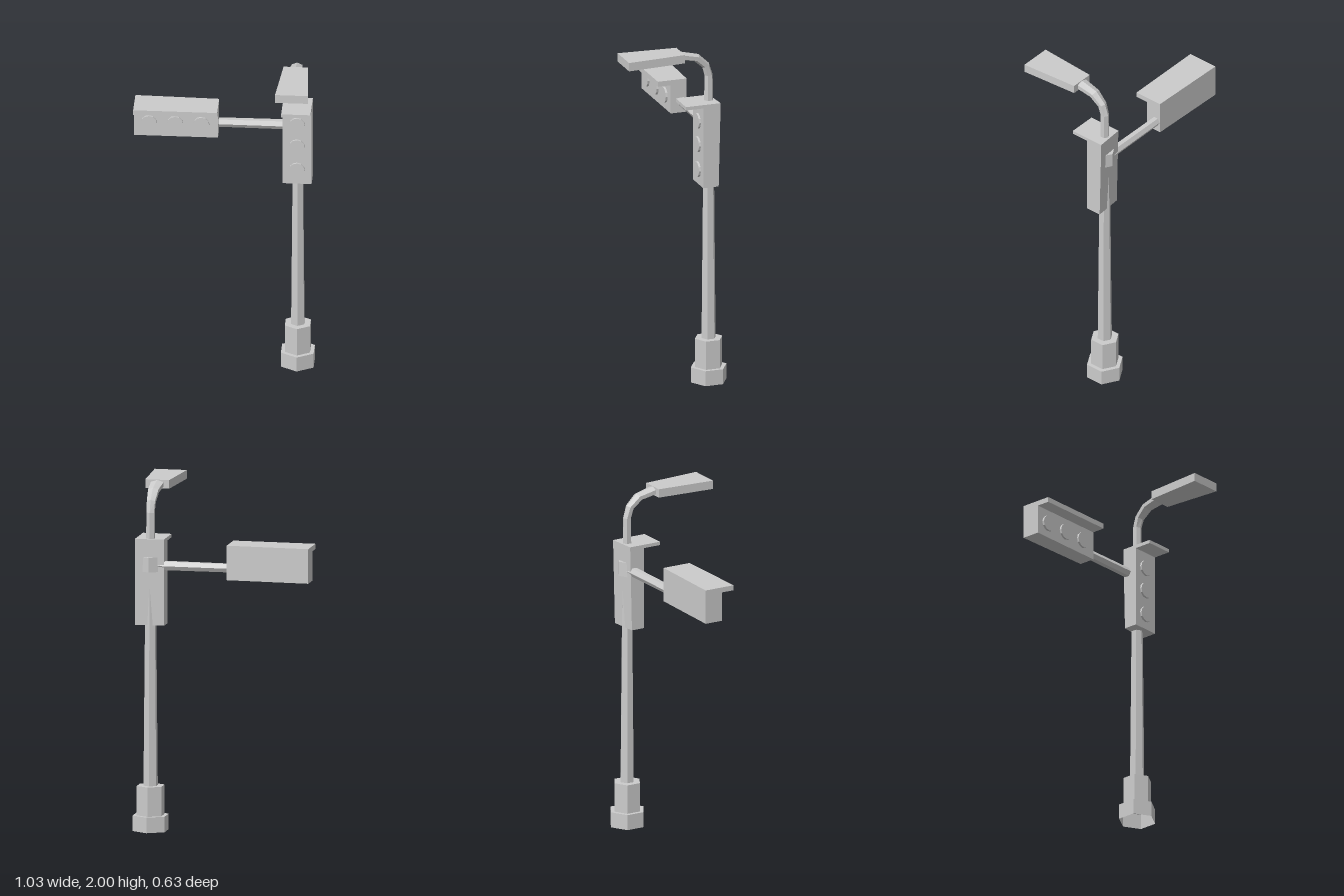
import * as THREE from 'three';

const POLE_X = 0.417, POLE_Z = -0.205;

export function createModel() {
  const model = new THREE.Group();
  const grey = new THREE.MeshStandardMaterial({ color: 0xcccccc, flatShading: true });
  const greyDouble = new THREE.MeshStandardMaterial({ color: 0xcccccc, flatShading: true, side: THREE.DoubleSide });

  const add = (name, geometry, x = 0, y = 0, z = 0, material = grey, parent = model) => {
    const mesh = new THREE.Mesh(geometry, material);
    mesh.name = name;
    mesh.position.set(x, y, z);
    parent.add(mesh);
    return mesh;
  };

  // Box given by its extents
  const block = (name, [x0, x1], [y0, y1], [z0, z1], parent = model) =>
    add(name, new THREE.BoxGeometry(x1 - x0, y1 - y0, z1 - z0),
      (x0 + x1) / 2, (y0 + y1) / 2, (z0 + z1) / 2, grey, parent);

  // Move a block's vertices by a rule (vertices relative to its centre)
  const reshape = (mesh, rule) => {
    const p = mesh.geometry.attributes.position;
    const v = new THREE.Vector3();
    for (let i = 0; i < p.count; i++) {
      rule(v.fromBufferAttribute(p, i));
      p.setXYZ(i, v.x, v.y, v.z);
    }
    mesh.geometry.computeVertexNormals();
  };

  // Hexagonal stepped base, hollow underneath
  const hexLathe = (pts) => new THREE.LatheGeometry(pts.map(([r, y]) => new THREE.Vector2(r, y)), 6);
  add('base', hexLathe([[0.108, 0], [0.108, 0.09], [0.083, 0.09], [0.083, 0.26], [0.04, 0.26]]),
    POLE_X, 0, POLE_Z, greyDouble);

  // Tapered pole and the clamp behind the upright signal
  add('pole', hexLathe([[0.043, 0.26], [0.034, 1.19], [0.025, 1.84]]), POLE_X, 0, POLE_Z, greyDouble);
  add('armClamp', new THREE.CylinderGeometry(0.058, 0.058, 0.085, 6), POLE_X, 1.543, POLE_Z);

  // Bent lamp arm: hexagonal sections [y, z, bend angle, half width, half thickness]
  const sections = [
    [1.84, -0.205, 0, 0.025, 0.025],
    [1.9, -0.187, 0.5, 0.028, 0.023],
    [1.952, -0.13, 1.0, 0.035, 0.024],
    [1.975, -0.03, 1.57, 0.043, 0.025],
  ];
  const pos = [], index = [];
  sections.forEach(([y, z, bend, w, h], i) => {
    for (let k = 0; k < 6; k++) {
      const a = (k * Math.PI) / 3, n = Math.cos(a) * h;
      pos.push(Math.sin(a) * w, y - Math.sin(bend) * n, z + Math.cos(bend) * n);
      if (i < sections.length - 1) {
        const p = i * 6 + k, q = i * 6 + ((k + 1) % 6);
        index.push(p, q, q + 6, p, q + 6, p + 6);
      }
    }
  });
  const armGeometry = new THREE.BufferGeometry();
  armGeometry.setAttribute('position', new THREE.Float32BufferAttribute(pos, 3));
  armGeometry.setIndex(index);
  armGeometry.computeVertexNormals();
  add('lampArm', armGeometry, POLE_X, 0, 0, greyDouble);

  // Lamp head, wider toward the front
  const lamp = block('lampHead', [0.323, 0.511], [1.95, 2], [-0.035, 0.313]);
  reshape(lamp, (v) => { if (v.z < 0) v.x *= 0.74; });

  // Signal: housing with a slanted back, visor and three lenses
  const signal = (name, xs, ys, visorThick, visorFront, backSkew, backTilt, back, lenses) => {
    const group = new THREE.Group();
    group.name = name;
    model.add(group);
    const front = -0.142;
    const housing = block('housing', xs, ys, [back, front], group);
    reshape(housing, (v) => {
      if (v.z < 0) v.z += Math.sign(v.x) * backSkew - Math.sign(v.y) * backTilt;
    });
    block('visor', xs, [ys[1] - visorThick, ys[1]], [front, visorFront], group);
    for (const [x, y] of lenses) {
      const lens = add('lens', new THREE.CylinderGeometry(0.046, 0.046, 0.02, 12), x, y, front + 0.002, grey, group);
      lens.rotation.x = Math.PI / 2;
    }
  };
  signal('uprightSignal', [0.333, 0.5], [1.19, 1.69], 0.02, -0.037, -0.006, 0.006, -0.236,
    [1.28, 1.43, 1.57].map((y) => [0.416, y]));
  signal('sideSignal', [-0.515, -0.035], [1.47, 1.67], 0.03, -0.064, 0.006, 0, -0.244,
    [-0.43, -0.28, -0.13].map((x) => [x, 1.555]));

  // Horizontal arm carrying the side signal
  const arm = add('sideArm', new THREE.CylinderGeometry(0.027, 0.029, 0.45, 6), 0.165, 1.536, -0.208);
  arm.rotation.z = Math.PI / 2;

  return model;
}
